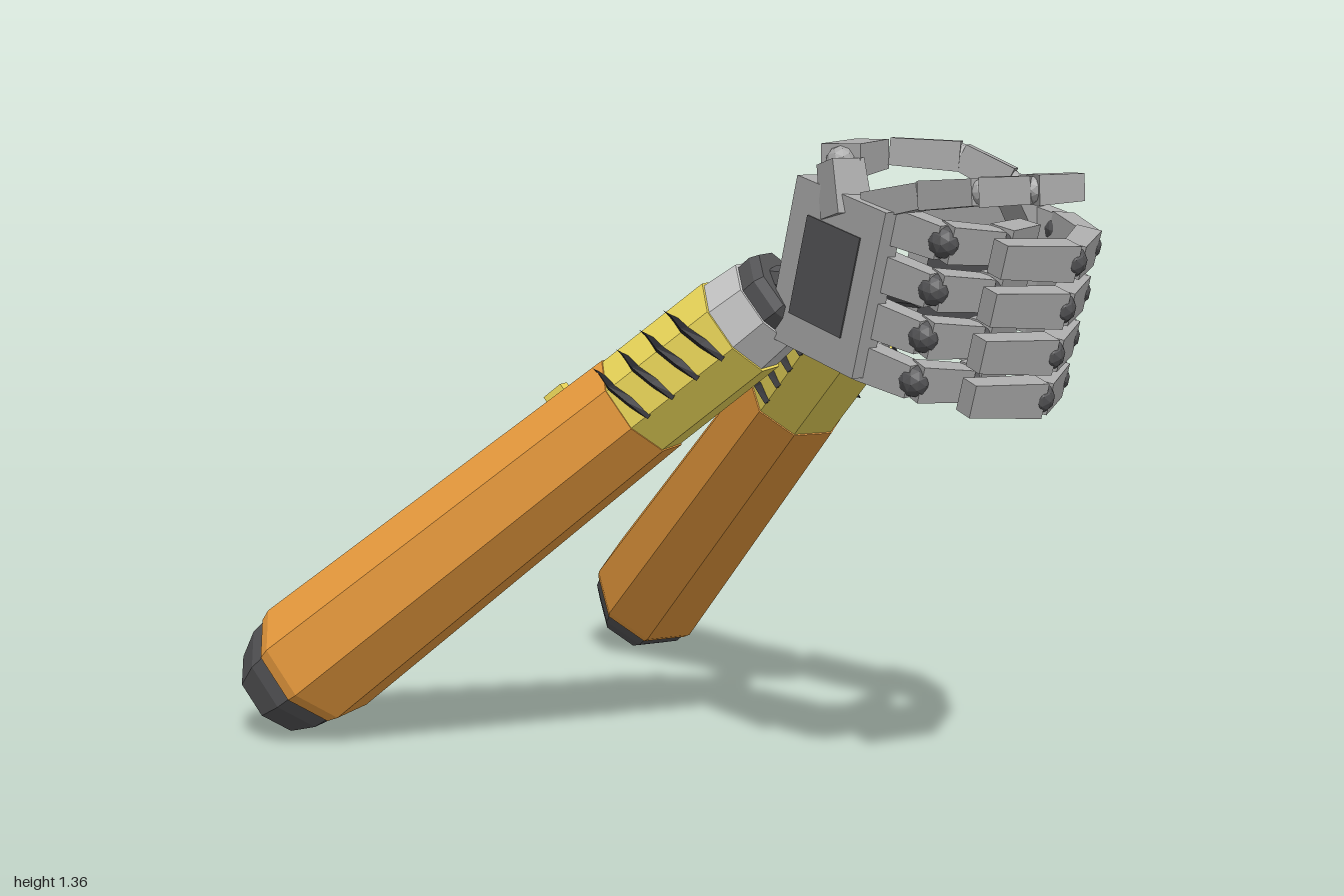
import * as THREE from 'three';

const mat = (color, side = THREE.FrontSide) =>
  new THREE.MeshStandardMaterial({ color, flatShading: true, side });
const GREY = mat(0xcccccc), METAL = mat(0xaaaaaa), DARK = mat(0x555557);
const ORANGE = mat(0xf0a040), YELLOW = mat(0xf2dd5c), BLACK = mat(0x26262b, THREE.DoubleSide);
const V = (x, y, z) => new THREE.Vector3(x, y, z);

function add(parent, name, geometry, material, pos = [0, 0, 0]) {
  const m = new THREE.Mesh(geometry, material);
  m.name = name;
  m.position.set(...pos);
  parent.add(m);
  return m;
}

// Eight-sided turned part, one flat facing up; profile is [radius, distance] pairs
const turned = (profile) =>
  new THREE.LatheGeometry(profile.map(([r, s]) => new THREE.Vector2(r, s)), 8, Math.PI / 8);

// Tapered ridge wrapped round one side of the cuff
function stripeGeometry(side, start) {
  const pos = [], idx = [], angles = [-24, 0, 22.5, 45, 60], widths = [0.012, 0.024, 0.02, 0.014, 0.001];
  angles.forEach((deg, i) => {
    const a = THREE.MathUtils.degToRad(deg);
    const off = a - Math.round(a / (Math.PI / 4)) * (Math.PI / 4);
    const flat = 0.11 / Math.cos(off), y = start - 0.065 * i / 4;
    for (const [r, dy] of [[flat - 0.002, -1], [flat + 0.014, 0], [flat - 0.002, 1]])
      pos.push(side * r * Math.cos(a), y + dy * widths[i] / 2, r * Math.sin(a));
    if (i) for (let k = 0; k < 2; k++) {
      const p = (i - 1) * 3 + k;
      idx.push(p, p + 1, p + 3, p + 1, p + 4, p + 3);
    }
  });
  const g = new THREE.BufferGeometry();
  g.setAttribute('position', new THREE.Float32BufferAttribute(pos, 3));
  g.setIndex(idx);
  g.computeVertexNormals();
  return g;
}

// Forearm running from its capped end to the wrist
function arm(name, from, to) {
  const g = new THREE.Group();
  g.name = name;
  const d = to.clone().sub(from), L = d.length();
  d.normalize();
  const x = d.clone().cross(V(0, 1, 0)).normalize();
  g.quaternion.setFromRotationMatrix(new THREE.Matrix4().makeBasis(x, d, x.clone().cross(d)));
  g.position.copy(from);
  add(g, 'endCap', turned([[0, 0], [0.11, 0], [0.14, 0.07], [0.146, 0.13], [0, 0.13]]), DARK);
  add(g, 'sleeve', turned([[0, 0.11], [0.148, 0.11], [0.157, 0.14], [0.123, 1.17], [0, 1.17]]), ORANGE);
  add(g, 'cuff', turned([[0, 1.16], [0.12, 1.16], [0.117, 1.45], [0, 1.45]]), YELLOW);
  add(g, 'wristRing', turned([[0, 1.44], [0.112, 1.44], [0.104, 1.53], [0, 1.53]]), GREY);
  add(g, 'wrist', turned([[0, 1.5], [0.094, 1.5], [0.098, L - 0.02], [0.09, L], [0, L]]), DARK);
  add(g, 'sleeveButton', new THREE.BoxGeometry(0.03, 0.05, 0.03), YELLOW, [0, 1.02, 0.122]);
  for (const side of [-1, 1])
    for (let i = 0; i < 4; i++) add(g, 'cuffStripe', stripeGeometry(side, 1.42 - i * 0.068), BLACK);
  return g;
}

// Jointed digit: one box per pair of points, a ball at each joint
function digit(name, points, w, h, jointMaterial) {
  const g = new THREE.Group();
  g.name = name;
  points.forEach((p, i) => {
    if (i < points.length - 1) {
      const q = points[i + 1], len = p.distanceTo(q);
      const geo = new THREE.BoxGeometry(w, h, len * 0.98);
      const at = geo.attributes.position;
      for (let k = 0; k < at.count; k++) // slight taper towards the tip
        if (at.getZ(k) > 0) { at.setX(k, at.getX(k) * 0.9); at.setY(k, at.getY(k) * 0.9); }
      const m = new THREE.Mesh(geo, METAL);
      m.name = 'fingerBone';
      m.position.copy(p).lerp(q, 0.5);
      m.lookAt(q);
      g.add(m);
      add(g, 'fingerJoint', new THREE.IcosahedronGeometry(h * 0.44, 1), jointMaterial, p.toArray());
    }
  });
  return g;
}

// Palm plate with dark panels on both faces and four curled fingers
function hand(name, pivot, palm, path, rows) {
  const g = new THREE.Group();
  g.name = name;
  g.position.copy(pivot);
  g.rotation.x = 0.26;
  const p = new THREE.Group();
  p.name = 'palm';
  p.position.set(palm.x, 0, -0.02);
  p.rotation.y = palm.turn;
  add(p, 'palmPlate', new THREE.BoxGeometry(0.05, 0.33, 0.25), METAL);
  add(p, 'palmPanel', new THREE.BoxGeometry(0.056, 0.2, 0.15), DARK);
  g.add(p);
  for (const v of rows)
    g.add(digit('finger', path.map(([x, w]) => V(x, v, w)), 0.05, 0.072, DARK));
  return g;
}

export function createModel() {
  const model = new THREE.Group();
  model.name = 'gripping arms';

  model.add(arm('leftArm', V(0.58, 0.088, -0.935), V(0.235, 1.05, 0.29)));
  model.add(arm('rightArm', V(-0.6, 0.105, -0.79), V(-0.05, 1.07, 0.335)));

  // Left fingers wrap round the front, right fingers curl inside them
  const rows = [0.15, 0.057, -0.036, -0.125];
  model.add(hand('leftHand', V(0, 1.08, 0.5), { x: 0.305, turn: 0.22 },
    [[0.345, 0.08], [0.36, 0.15], [0.325, 0.25], [0.19, 0.33], [0.02, 0.295]], rows));
  model.add(hand('rightHand', V(0, 1.1, 0.52), { x: -0.085, turn: 0 },
    [[-0.06, 0.08], [-0.04, 0.2], [0.07, 0.235], [0.19, 0.2]], rows.map((v) => v - 0.015)));

  // Wrist pivots between forearm and palm
  for (const [x, y, z] of [[0.26, 1.05, 0.34], [-0.07, 1.08, 0.38]])
    add(model, 'wristPivot', new THREE.CylinderGeometry(0.035, 0.035, 0.12, 8), DARK, [x, y, z]).rotation.x = Math.PI / 2;

  // Thumbs and the extended forefinger
  model.add(digit('leftThumb',
    [V(0.36, 1.17, 0.62), V(0.27, 1.28, 0.63), V(0.215, 1.33, 0.55), V(0.125, 1.34, 0.44)], 0.06, 0.06, METAL));
  model.add(digit('rightThumb',
    [V(-0.08, 1.22, 0.53), V(-0.075, 1.325, 0.505), V(0.095, 1.335, 0.42)], 0.08, 0.065, METAL));
  model.add(digit('rightForefinger',
    [V(-0.065, 1.24, 0.58), V(-0.06, 1.265, 0.72), V(-0.055, 1.275, 0.85), V(-0.005, 1.28, 0.93), V(0.075, 1.285, 0.97)],
    0.055, 0.055, METAL));
  return model;
}
